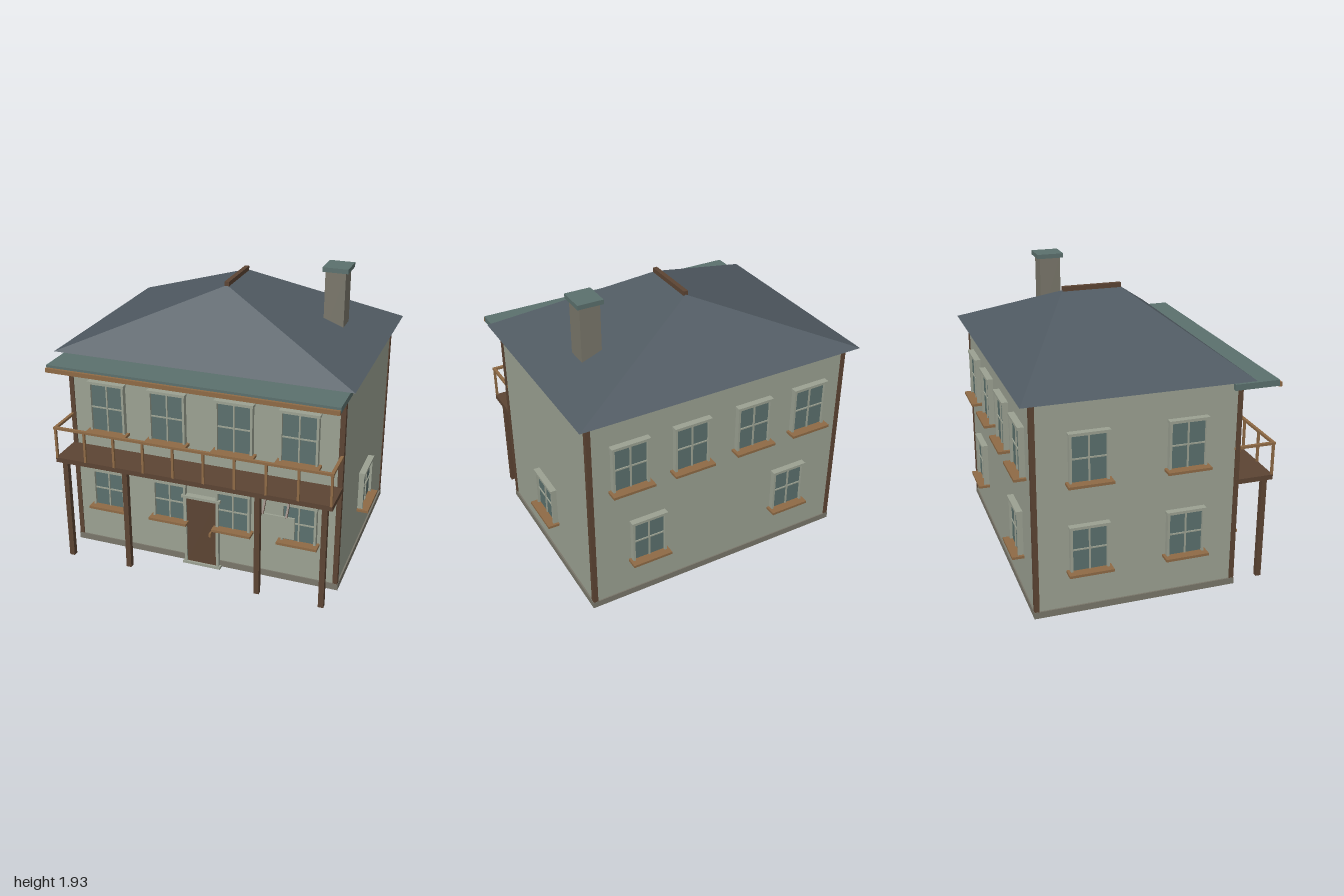
import * as THREE from 'three';

const mat = (name, color) => {
  const m = new THREE.MeshStandardMaterial({ color });
  m.name = name;
  return m;
};

export function createModel() {
  const house = new THREE.Group();
  house.name = 'house';
  const wall = mat('pale plaster', 0x9ba192);
  const stone = mat('grey stone', 0x79766a);
  const slate = mat('slate', 0x505a62);
  const teal = mat('teal', 0x5b706d);
  const brown = mat('dark timber', 0x5c4433);
  const wood = mat('light timber', 0x8e6a45);

  // Box given by its lower and upper limits on each axis
  function box(name, m, [x0, x1], [y0, y1], [z0, z1], parent = house) {
    const mesh = new THREE.Mesh(new THREE.BoxGeometry(x1 - x0, y1 - y0, z1 - z0), m);
    mesh.position.set((x0 + x1) / 2, (y0 + y1) / 2, (z0 + z1) / 2);
    mesh.name = name;
    parent.add(mesh);
    return mesh;
  }
  const span = (c, w) => [c - w / 2, c + w / 2];

  // Body, plinth and corner posts
  const W = 0.92, F = 0.572, B = -0.75;
  box('walls', wall, [-W, W], [0.05, 1.425], [B, F]);
  box('plinth', stone, [-0.93, 0.93], [0.008, 0.052], [B - 0.008, F + 0.008]);
  for (const x of [-0.911, 0.911])
    for (const z of [B + 0.01, F - 0.01])
      box('cornerPost', brown, span(x, 0.032), [0.05, 1.425], span(z, 0.032));

  // Hipped roof with a ridge running front to back
  const e = [[-0.988, 1.426, 0.637], [0.988, 1.426, 0.637], [0.988, 1.426, -0.82], [-0.988, 1.426, -0.82]];
  const rf = [0, 1.816, 0.1], rb = [0, 1.816, -0.29];
  const faces = [
    [e[0], e[1], rf], [e[2], e[3], rb],
    [e[1], e[2], rb], [e[1], rb, rf],
    [e[3], e[0], rf], [e[3], rf, rb],
    [e[0], e[3], e[2]], [e[0], e[2], e[1]],
  ];
  const roofGeo = new THREE.BufferGeometry();
  roofGeo.setAttribute('position', new THREE.Float32BufferAttribute(faces.flat(2), 3));
  roofGeo.computeVertexNormals();
  const roof = new THREE.Mesh(roofGeo, slate);
  roof.name = 'roof';
  house.add(roof);
  box('ridgeCap', brown, span(0, 0.03), [1.805, 1.84], [-0.29, 0.107]);

  // Chimney
  box('chimney', stone, span(0.65, 0.135), [1.45, 1.9], span(-0.214, 0.145));
  box('chimneyCap', teal, span(0.652, 0.17), [1.9, 1.93], span(-0.214, 0.185));

  // Window: local +z points out of the wall, y runs from sill top to lintel top
  function makeWindow(x, z, turn, y0, y1, w, sillW) {
    const g = new THREE.Group();
    g.name = 'window';
    g.position.set(x, 0, z);
    g.rotation.y = turn;
    const top = y1 - 0.018, t = 0.015, mid = (y0 + top) / 2;
    box('glass', teal, span(0, w - t), [y0, top], [0.01, 0.018], g);
    for (const s of [-1, 1])
      box('jamb', wall, span(s * (w - t) / 2, t), [y0, top], [-0.005, 0.036], g);
    box('lintel', wall, span(0, w + 0.012), [top, y1], [-0.005, 0.042], g);
    box('mullion', wall, span(0, 0.01), [y0, top], [0.01, 0.026], g);
    box('crossBar', wall, span(0, w - t), span(mid, 0.009), [0.01, 0.025], g);
    box('sill', wood, span(0, sillW), [y0 - 0.017, y0], [-0.005, 0.078], g);
    house.add(g);
  }
  // Front
  for (const x of [-0.65, -0.227, 0.227, 0.65]) makeWindow(x, F, 0, 0.892, 1.237, 0.248, 0.285);
  for (const x of [-0.667, -0.225, 0.221, 0.664]) makeWindow(x, F, 0, 0.327, 0.6, 0.233, 0.268);
  // Back
  for (const x of [-0.65, -0.225, 0.225, 0.65]) makeWindow(x, B, Math.PI, 0.902, 1.225, 0.248, 0.285);
  for (const x of [-0.53, 0.53]) makeWindow(x, B, Math.PI, 0.308, 0.615, 0.24, 0.275);
  // Sides
  for (const z of [-0.405, 0.22]) {
    makeWindow(-W, z, -Math.PI / 2, 0.904, 1.222, 0.248, 0.285);
    makeWindow(-W, z, -Math.PI / 2, 0.31, 0.615, 0.248, 0.285);
  }
  makeWindow(W, -0.085, Math.PI / 2, 0.325, 0.597, 0.272, 0.306);

  // Door
  box('door', brown, [-0.105, 0.105], [0.015, 0.51], [F - 0.01, 0.597]);
  for (const s of [-1, 1]) box('doorJamb', wall, span(s * 0.112, 0.018), [0.015, 0.505], [F - 0.01, 0.608]);
  box('doorLintel', wall, span(0, 0.27), [0.505, 0.523], [F - 0.01, 0.614]);
  box('threshold', wall, span(0, 0.264), [0, 0.018], [F - 0.01, 0.612]);
  box('doorHandle', wood, span(0.068, 0.012), [0.25, 0.278], [0.595, 0.627]);

  // Balcony deck on four posts
  box('balconyDeck', brown, [-0.928, 0.928], [0.725, 0.758], [F - 0.01, 0.815]);
  for (const x of [-0.876, -0.449, 0.449, 0.876])
    box('balconyPost', brown, span(x, 0.035), [0.008, 0.73], span(0.777, 0.035));

  // Railing
  for (let i = 0; i < 10; i++)
    box('baluster', wood, span(-0.918 + i * 0.204, 0.015), [0.755, 0.968], span(0.81, 0.015));
  box('frontRail', wood, [-0.928, 0.928], [0.963, 0.979], span(0.811, 0.02));
  for (const s of [-1, 1]) box('sideRail', wood, span(s * 0.917, 0.02), [0.963, 0.979], [0.54, 0.815]);

  // Awning over the balcony
  box('awning', teal, [-0.948, 0.948], [1.363, 1.402], [0.515, 0.808]);
  box('awningTrim', wood, [-0.947, 0.947], [1.358, 1.386], [0.803, 0.826]);

  // Hanging board with slanted arms
  box('hangingBoard', wall, [0.42, 0.68], [0.437, 0.587], span(0.748, 0.012));
  for (const x of [0.472, 0.626]) {
    const arm = box('boardArm', brown, span(x, 0.013), span(0.628, 0.11), span(0.723, 0.013));
    arm.rotation.x = -0.64;
  }
  return house;
}
